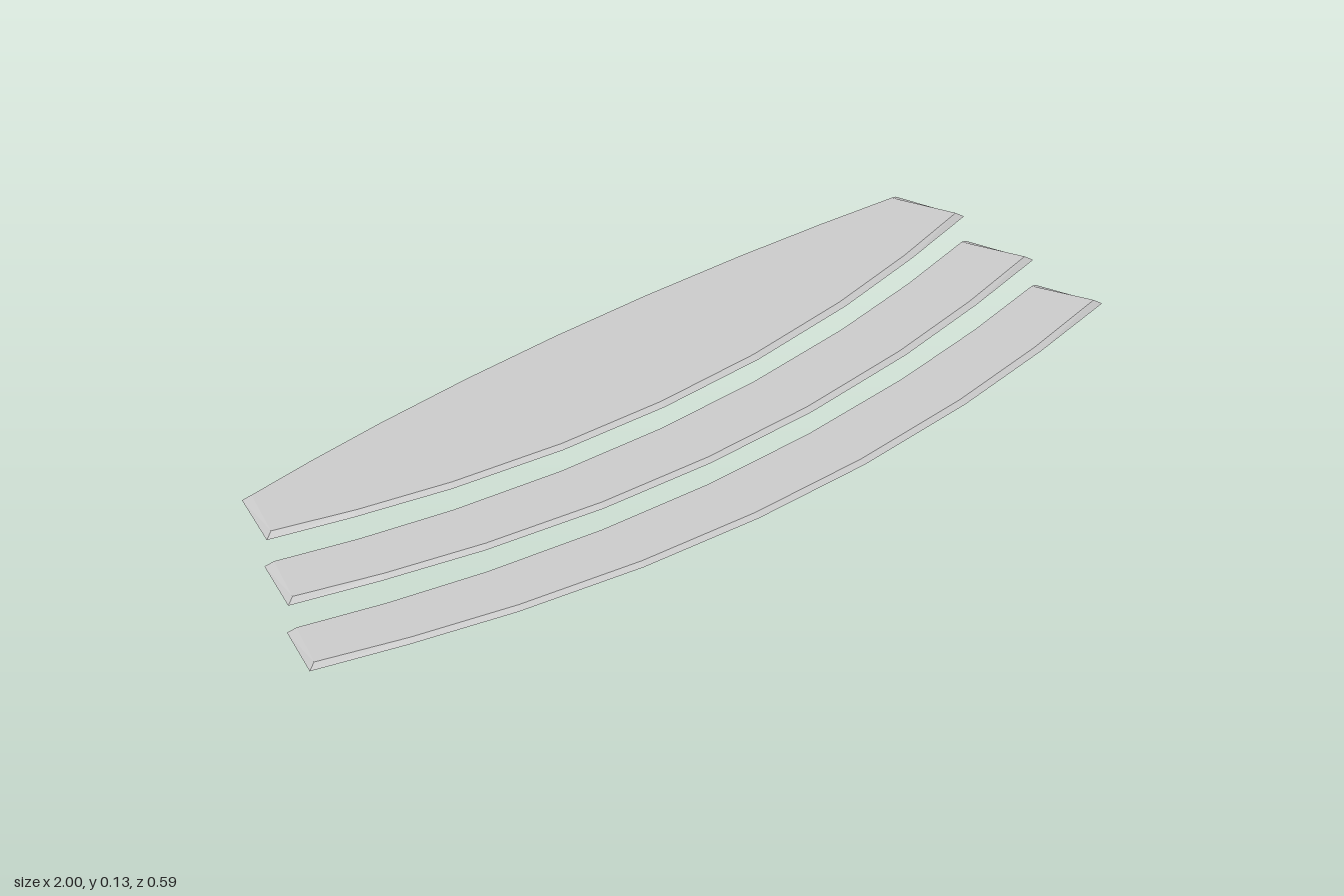
import * as THREE from 'three';

const SPREAD = [-1, -0.8, -0.565, -0.28, 0, 0.28, 0.565, 0.8, 1];
const material = new THREE.MeshStandardMaterial({
  color: 0xcccccc, flatShading: true, side: THREE.DoubleSide,
});

// Point on a bowed edge: halfWidth wide, bowing from end depth to middle depth
const bow = (u, halfWidth, y, middle, end) =>
  [u * halfWidth, y, middle + (end - middle) * u * u];

// Thin tread: a flat top sheet with sloping lips along the front and both ends,
// open at the back and below
function makeTread({ y, frontHalf, backHalf, frontMid, frontEnd, backMid, backEnd }) {
  const top = y + 0.0115, low = y + 0.003;
  const positions = [], index = [];
  const add = (p) => positions.push(...p) / 3 - 1;
  const quad = (a, b, c, d) => index.push(a, b, c, a, c, d);

  // Each column runs lip bottom, top front edge, top back edge
  const columns = SPREAD.map((u) => [
    add(bow(u, frontHalf, Math.abs(u) === 1 ? y : low, frontMid, frontEnd)),
    add(bow(u, frontHalf - 0.016, top, frontMid - 0.01, frontEnd - 0.006)),
    add(bow(u, backHalf - 0.017, top, backMid, backEnd + 0.008)),
  ]);
  for (let i = 0; i < columns.length - 1; i++) {
    const a = columns[i], b = columns[i + 1];
    quad(a[0], b[0], b[1], a[1]);
    quad(a[1], b[1], b[2], a[2]);
  }

  // End lips
  for (const side of [-1, 1]) {
    const [lipFront, topFront, topBack] = columns[side < 0 ? 0 : columns.length - 1];
    const lipBack = add([side * backHalf, low, backEnd]);
    if (side > 0) quad(lipFront, lipBack, topBack, topFront);
    else quad(lipBack, lipFront, topFront, topBack);
  }

  const geometry = new THREE.BufferGeometry();
  geometry.setAttribute('position', new THREE.Float32BufferAttribute(positions, 3));
  geometry.setIndex(index);
  geometry.computeVertexNormals();
  return new THREE.Mesh(geometry, material);
}

export function createModel() {
  const steps = new THREE.Group();
  steps.name = 'curvedSteps';

  // Three rising treads; the last one is a deep landing with a rounded back
  ['lowerTread', 'middleTread', 'upperLanding'].forEach((name, i) => {
    const tread = makeTread({
      y: 0.0605 * i,
      frontHalf: 1 - 0.06 * i,
      backHalf: 0.945 - 0.06 * i,
      frontMid: 0.295 - 0.136 * i,
      frontEnd: 0.142 - 0.131 * i,
      backMid: i < 2 ? 0.15 - 0.137 * i : -0.295,
      backEnd: 0.013 - 0.134 * i,
    });
    tread.name = name;
    steps.add(tread);
  });
  return steps;
}
